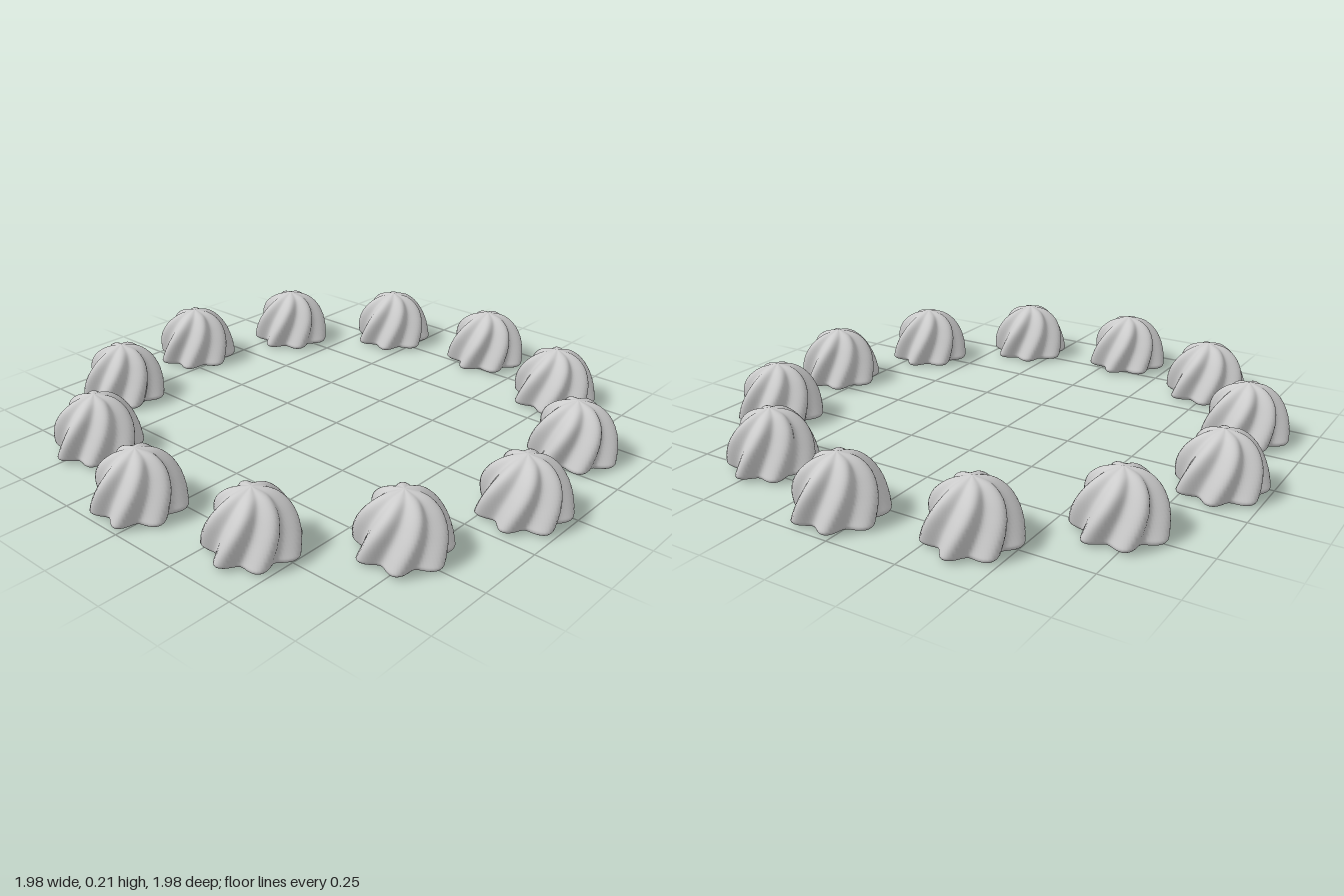
import * as THREE from 'three';
import { mergeVertices } from 'three/addons/utils/BufferGeometryUtils.js';

const COUNT = 12, RING = 0.85, LOBES = 7, HEIGHT = 0.21, TWIST = 0.75;

// Dome profile turned on a lathe, then fluted with lobes that twist as they rise
function dollopGeometry() {
  const profile = new THREE.SplineCurve([
    [0, 0], [0.07, 0], [0.12, 0.002], [0.136, 0.012], [0.137, 0.03], [0.131, 0.075],
    [0.118, 0.12], [0.094, 0.162], [0.056, 0.194], [0, HEIGHT],
  ].map(([r, y]) => new THREE.Vector2(r, y))).getPoints(40);
  profile.forEach((p) => p.set(Math.max(p.x, 0), Math.max(p.y, 0)));

  let geo = new THREE.LatheGeometry(profile, LOBES * 14);
  const pos = geo.attributes.position;
  for (let i = 0; i < pos.count; i++) {
    const x = pos.getX(i), y = pos.getY(i), z = pos.getZ(i);
    const turn = Math.atan2(z, x) - Math.PI + TWIST * (y / HEIGHT);
    const k = 1 + 0.135 * Math.cos(LOBES * turn);
    pos.setXYZ(i, x * k, y, z * k);
  }
  // Weld the seam so the shading stays smooth all round
  geo.deleteAttribute('uv');
  geo.deleteAttribute('normal');
  geo = mergeVertices(geo, 1e-5);
  geo.computeVertexNormals();
  return geo;
}

export function createModel() {
  const model = new THREE.Group();
  model.name = 'creamRing';
  const geo = dollopGeometry();
  const material = new THREE.MeshStandardMaterial({ color: 0xcccccc });

  // Ring of dollops, each turned with its place on the ring
  for (let i = 0; i < COUNT; i++) {
    const angle = (i / COUNT) * Math.PI * 2 + THREE.MathUtils.degToRad(5);
    const dollop = new THREE.Mesh(geo, material);
    dollop.name = `creamDollop${i + 1}`;
    dollop.position.set(RING * Math.cos(angle), 0, RING * Math.sin(angle));
    dollop.rotation.y = -angle;
    model.add(dollop);
  }
  return model;
}
